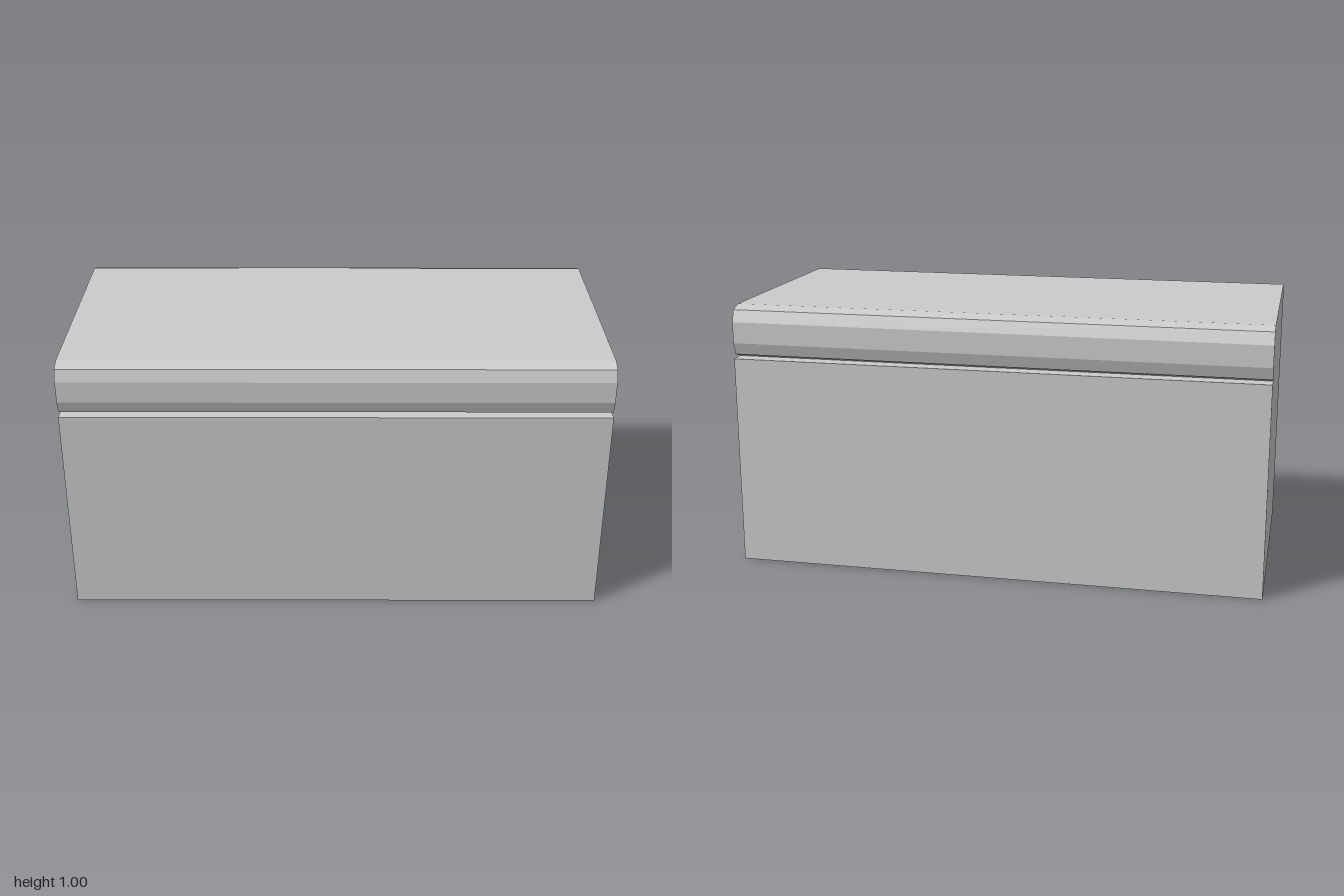
import * as THREE from 'three';

const LENGTH = 2, DEPTH = 1, BODY_HEIGHT = 0.8, LID_HEIGHT = 0.2;

// Slab cross-section with its four edges rounded in two facets each
function lidProfile(halfWidth, height, r) {
  const k = r * (1 - Math.SQRT1_2) * 0.85;
  const corner = [[halfWidth, r], [halfWidth - k, k], [halfWidth - r, 0]];
  const right = [...corner].reverse().concat(
    corner.map(([x, y]) => [x, height - y]));
  const left = right.map(([x, y]) => [-x, y]).reverse();
  return new THREE.Shape([...right, ...left].map(([x, y]) => new THREE.Vector2(x, y)));
}

export function createModel() {
  const model = new THREE.Group();
  model.name = 'chest';
  const material = new THREE.MeshStandardMaterial({ color: 0xcccccc, flatShading: true });

  // Plain box body
  const body = new THREE.Mesh(new THREE.BoxGeometry(LENGTH, BODY_HEIGHT, DEPTH), material);
  body.name = 'body';
  body.position.y = BODY_HEIGHT / 2;

  // Lid, rounded along its front and back edges, running the full length
  const lidGeometry = new THREE.ExtrudeGeometry(
    lidProfile(DEPTH / 2, LID_HEIGHT, 0.06), { depth: LENGTH, bevelEnabled: false });
  lidGeometry.translate(0, 0, -LENGTH / 2).rotateY(Math.PI / 2);
  const lid = new THREE.Mesh(lidGeometry, material);
  lid.name = 'lid';
  lid.position.y = BODY_HEIGHT;

  model.add(body, lid);
  return model;
}
